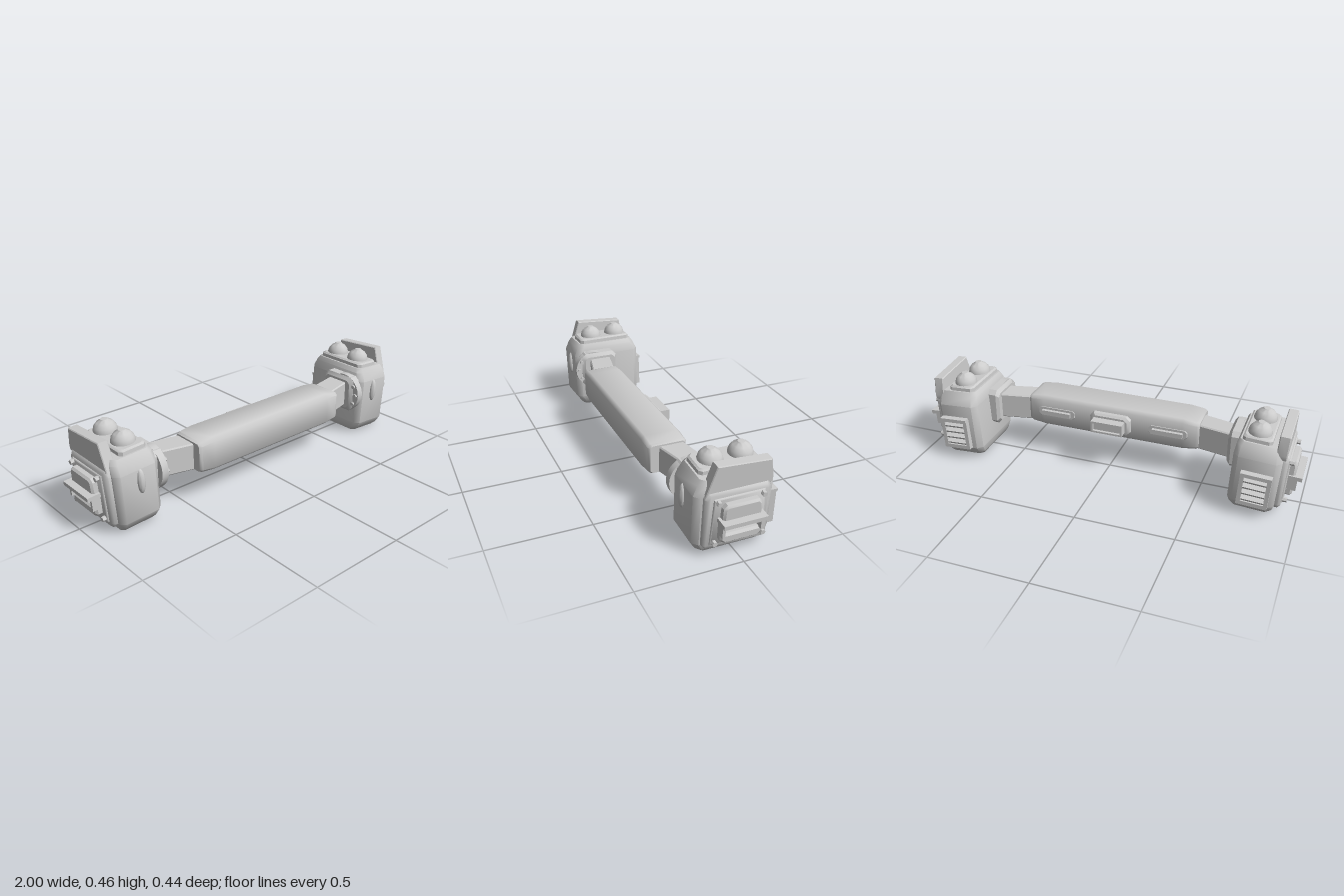
import * as THREE from 'three';
import { toCreasedNormals } from 'three/addons/utils/BufferGeometryUtils.js';

const grey = new THREE.MeshStandardMaterial({ color: 0xcccccc });
grey.name = 'grey';

function add(parent, name, geo, x = 0, y = 0, z = 0, crease = 0.55) {
  const mesh = new THREE.Mesh(toCreasedNormals(geo, crease), grey);
  mesh.name = name;
  mesh.position.set(x, y, z);
  parent.add(mesh);
  return mesh;
}

const box = (w, h, d) => new THREE.BoxGeometry(w, h, d);

// Loft of chamfered rectangles along y: [y, halfX, halfZ, chamfer, offsetX, offsetZ]
function loft(sections) {
  const pos = [], idx = [], n = 8;
  for (const [y, a, b, c, ox = 0, oz = 0] of sections) {
    const ring = [[a, b - c], [a, c - b], [a - c, -b], [c - a, -b], [-a, c - b], [-a, b - c], [c - a, b], [a - c, b]];
    for (const [x, z] of ring) pos.push(x + ox, y, z + oz);
  }
  const last = (sections.length - 1) * n;
  for (let s = 0; s < last; s += n) {
    for (let i = 0; i < n; i++) {
      const j = (i + 1) % n;
      idx.push(s + i, s + j, s + n + j, s + i, s + n + j, s + n + i);
    }
  }
  for (let i = 1; i < n - 1; i++) idx.push(0, i + 1, i, last, last + i, last + i + 1);
  const geo = new THREE.BufferGeometry();
  geo.setAttribute('position', new THREE.Float32BufferAttribute(pos, 3));
  geo.setIndex(idx);
  return geo;
}
// Same loft laid along x: [x, halfY, halfZ, chamfer, offsetY, offsetZ]
const loftX = (sections) => loft(sections.map(([x, a, b, c, oy = 0, oz = 0]) => [x, a, b, c, -oy, oz])).rotateZ(-Math.PI / 2);

// Bevelled plate facing +x, outline given as [z, y]
function sidePlate(points, depth, bevel) {
  const shape = new THREE.Shape(points.map(([z, y]) => new THREE.Vector2(-z, y)));
  return new THREE.ExtrudeGeometry(shape, {
    depth: depth - bevel, bevelEnabled: true, bevelThickness: bevel, bevelSize: bevel, bevelOffset: -bevel, bevelSegments: 1,
  }).rotateY(Math.PI / 2);
}

// Rectangular frame facing z
function frame(w, h, t, depth) {
  const rect = (P, a, b) => new P([[-a, -b], [a, -b], [a, b], [-a, b]].map(([x, y]) => new THREE.Vector2(x, y)));
  const shape = rect(THREE.Shape, w / 2, h / 2);
  shape.holes.push(rect(THREE.Path, w / 2 - t, h / 2 - t));
  return new THREE.ExtrudeGeometry(shape, { depth, bevelEnabled: false });
}

function makePod() {
  const pod = new THREE.Group();
  pod.name = 'endPod';
  pod.position.set(0.773, 0.005, 0);
  pod.rotation.z = -0.06;

  add(pod, 'podBody', loft([
    [0, 0.092, 0.145, 0.018], [0.017, 0.104, 0.162, 0.022], [0.055, 0.113, 0.187, 0.026],
    [0.3, 0.115, 0.19, 0.026], [0.345, 0.11, 0.17, 0.026], [0.368, 0.098, 0.155, 0.024]]), 0, 0, 0, 0.82);

  // Top block with two domed caps
  add(pod, 'topBlock', loft([[0.33, 0.072, 0.15, 0.015], [0.385, 0.07, 0.145, 0.015], [0.393, 0.062, 0.137, 0.015]]), -0.018);
  const dome = [[0.057, 0], [0.057, 0.012], [0.052, 0.03], [0.038, 0.048], [0.022, 0.057], [0.017, 0.063], [0, 0.064]]
    .map(([r, y]) => new THREE.Vector2(r, y));
  for (const z of [-0.08, 0.065]) add(pod, 'domeCap', new THREE.LatheGeometry(dome, 24), -0.018, 0.386, z);

  // Outer armour with upright fin
  add(pod, 'outerPlate', sidePlate([[0.135, 0.037], [0.155, 0.06], [0.155, 0.3], [0.138, 0.328],
    [-0.14, 0.328], [-0.153, 0.3], [-0.153, 0.06], [-0.135, 0.037]], 0.04, 0.012), 0.1, 0, 0, 0.82);
  add(pod, 'outerFin', sidePlate([[0.15, 0.315], [0.105, 0.45], [-0.15, 0.432], [-0.165, 0.34], [-0.16, 0.315]], 0.047, 0.004), 0.083);
  add(pod, 'innerPanel', sidePlate([[0.128, 0.068], [0.118, 0.3], [-0.122, 0.3], [-0.133, 0.068]], 0.018, 0.005), 0.13, 0, 0, 0.82);
  for (const [z, y] of [[0.1, 0.285], [-0.11, 0.285], [0.11, 0.083], [-0.12, 0.083]]) {
    add(pod, 'cornerBolt', new THREE.CylinderGeometry(0.012, 0.014, 0.025, 6).rotateZ(-Math.PI / 2), 0.153, y, z);
  }

  // Outer vent: hood, projecting shelf, posts and tray
  add(pod, 'ventHood', sidePlate([[0.088, 0.2], [0.085, 0.262], [0.068, 0.279], [-0.08, 0.279], [-0.095, 0.262], [-0.098, 0.2]], 0.04, 0.01), 0.14);
  add(pod, 'ventShelf', box(0.075, 0.02, 0.207), 0.177, 0.2, -0.003);
  for (const z of [0.088, -0.094]) add(pod, 'ventPost', box(0.053, 0.065, 0.014), 0.167, 0.163, z);
  add(pod, 'ventTray', sidePlate([[0.095, 0.136], [0.095, 0.105], [0.075, 0.088], [-0.08, 0.088], [-0.102, 0.105], [-0.102, 0.136]], 0.04, 0.01), 0.14);

  // Rear louvred grille
  add(pod, 'grilleFrame', frame(0.15, 0.172, 0.02, 0.035), 0.012, 0.146, -0.216);
  add(pod, 'grilleLip', box(0.15, 0.014, 0.045), 0.012, 0.228, -0.2);
  for (let i = 0; i < 4; i++) {
    add(pod, 'grilleLouvre', box(0.112, 0.013, 0.03), 0.012, 0.096 + i * 0.033, -0.201).rotation.x = -0.5;
  }

  // Oval bump on the front
  add(pod, 'frontBump', new THREE.SphereGeometry(1, 20, 14).scale(0.02, 0.062, 0.02), -0.01, 0.24, 0.188);
  return pod;
}

function makeSide() {
  const side = new THREE.Group();
  side.name = 'leftSide';
  side.add(makePod());

  // Angled arm and its collar
  add(side, 'arm', loftX([[0.44, 0.068, 0.063, 0.006, 0.243, 0.103], [0.66, 0.068, 0.058, 0.006, 0.243, 0.055]]));
  add(side, 'collarBox', loftX([[0.622, 0.08, 0.088, 0.018, 0.243, 0.062], [0.638, 0.098, 0.102, 0.022, 0.243, 0.065],
    [0.69, 0.098, 0.102, 0.022, 0.243, 0.065]]));
  add(side, 'collarDisc', new THREE.CylinderGeometry(0.103, 0.103, 0.034, 32).rotateZ(Math.PI / 2), 0.656, 0.245, 0.1);
  for (let i = -1; i <= 1; i++) {
    const a = i * 0.62;
    add(side, 'collarBolt', new THREE.CylinderGeometry(0.011, 0.011, 0.014, 6).rotateZ(Math.PI / 2),
      0.636, 0.245 + Math.sin(a) * 0.086, 0.1 + Math.cos(a) * 0.086);
  }

  // Rear strip on the bar
  add(side, 'rearStripBase', loft([[0, 0.105, 0.028, 0.012], [0.008, 0.1, 0.024, 0.012]]).rotateX(-Math.PI / 2), 0.305, 0.25, 0.022);
  add(side, 'rearStrip', box(0.16, 0.024, 0.024), 0.305, 0.25, 0.008);
  return side;
}

// Mirrored copy with baked transforms and corrected winding
function mirrored(group) {
  const out = new THREE.Group();
  out.name = 'rightSide';
  group.updateMatrixWorld(true);
  const flip = new THREE.Matrix4().makeScale(-1, 1, 1);
  group.traverse((m) => {
    if (!m.isMesh) return;
    const geo = m.geometry.clone().applyMatrix4(m.matrixWorld).applyMatrix4(flip);
    const order = [];
    for (let i = 0; i < geo.attributes.position.count; i += 3) order.push(i, i + 2, i + 1);
    geo.setIndex(order);
    const copy = new THREE.Mesh(geo, grey);
    copy.name = m.name;
    out.add(copy);
  });
  return out;
}

export function createModel() {
  const model = new THREE.Group();
  model.name = 'crossbarWithPods';

  // Central bar with tapered ends and softly shaded edges
  const half = [[0.465, 0.07, 0.087, 0.012], [0.45, 0.075, 0.096, 0.014], [0.38, 0.085, 0.099, 0.018]];
  const sections = [...half.map(([x, ...r]) => [-x, ...r]), ...half.slice().reverse()];
  add(model, 'centralBar', loftX(sections), 0, 0.249, 0.116, 0.82);

  // Rear centre housing
  add(model, 'rearHousingBase', loft([[0, 0.11, 0.055, 0.02], [0.025, 0.108, 0.052, 0.02], [0.036, 0.095, 0.042, 0.018]])
    .rotateX(-Math.PI / 2), 0, 0.25, 0.024);
  add(model, 'rearHousingFrame', frame(0.168, 0.062, 0.01, 0.055), 0, 0.25, -0.06);
  add(model, 'rearHousingCore', box(0.15, 0.045, 0.04), 0, 0.25, -0.025);

  const side = makeSide();
  model.add(side, mirrored(side));
  return model;
}
